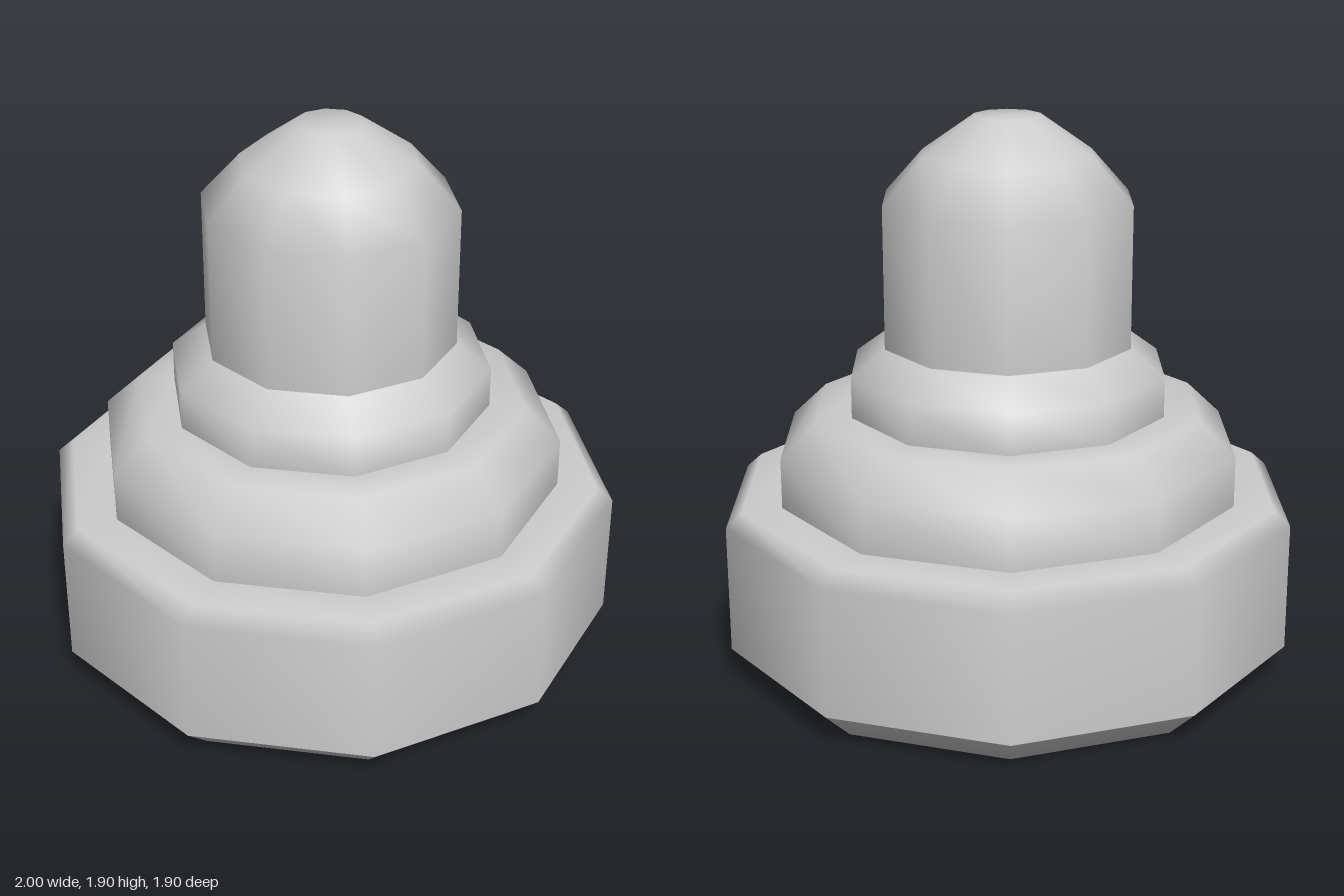
import * as THREE from 'three';

const SIDES = 10;

// Each part is a ten-sided turned profile of [radius, height], bottom to top,
// smooth within the part and sharp where parts meet.
const PARTS = {
  underside: [[0, 0], [0.885, 0], [1, 0.11]],
  base: [[1, 0.11], [1, 0.555], [0.945, 0.605], [0.805, 0.605]],
  middleTier: [[0.805, 0.605], [0.805, 0.78], [0.68, 0.9], [0.555, 0.9]],
  collar: [[0.555, 0.9], [0.555, 1.04], [0.435, 1.13]],
  domedPost: [[0.435, 1.13], [0.435, 1.62], [0.3, 1.77], [0.115, 1.9], [0, 1.9]],
};

export function createModel() {
  const model = new THREE.Group();
  model.name = 'steppedPeg';
  const material = new THREE.MeshStandardMaterial({ color: 0xcccccc });

  for (const [name, profile] of Object.entries(PARTS)) {
    const points = profile.map(([r, y]) => new THREE.Vector2(r, y));
    // A quarter-turn start puts a corner on the x axis
    const geometry = new THREE.LatheGeometry(points, SIDES, Math.PI / 2);
    const mesh = new THREE.Mesh(geometry, material);
    mesh.name = name;
    model.add(mesh);
  }
  return model;
}
